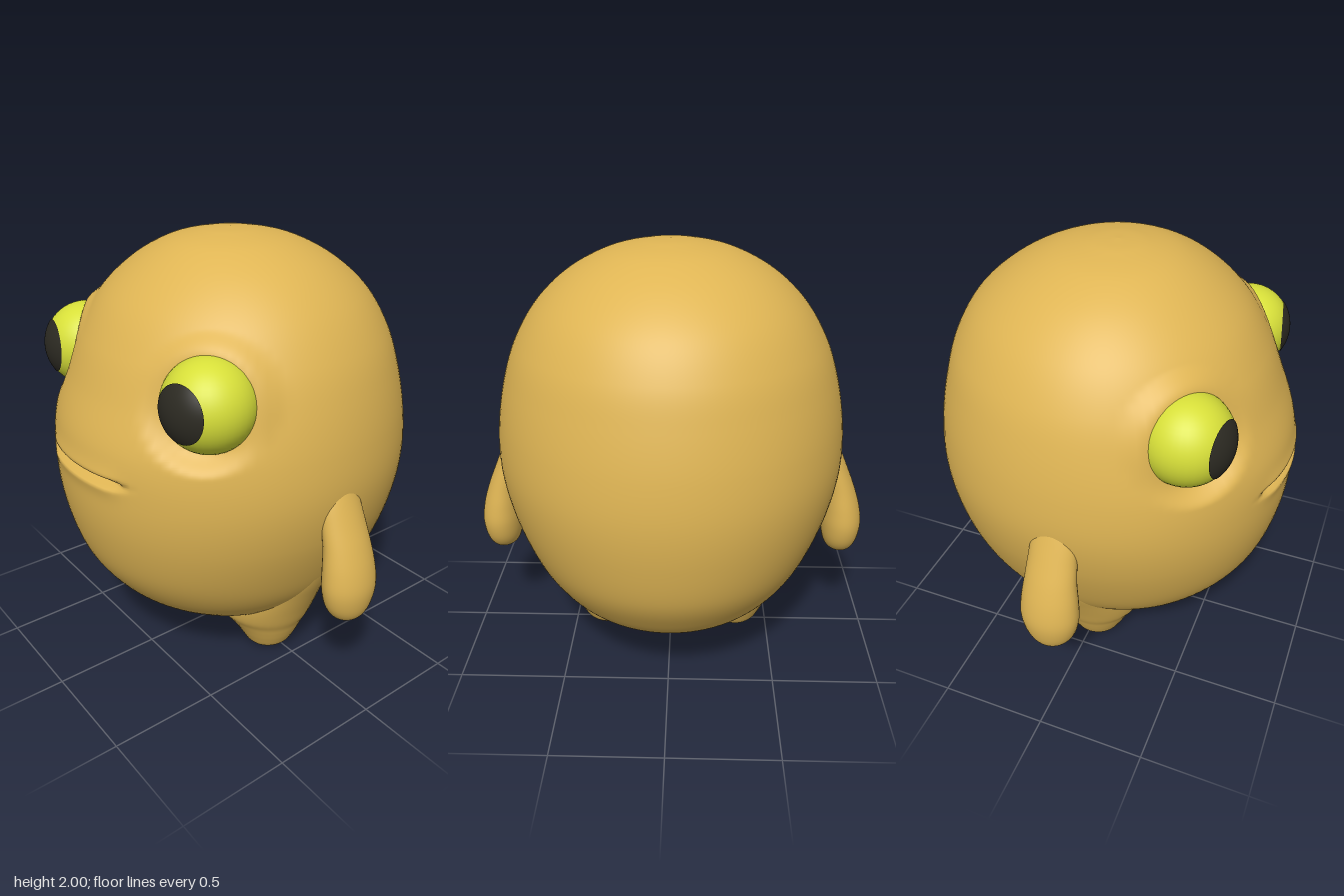
import * as THREE from 'three';

const skin = new THREE.MeshStandardMaterial({ color: 0xdfb554 });
skin.name = 'ochreSkin';
const eyeYellow = new THREE.MeshStandardMaterial({ color: 0xd7df39 });
eyeYellow.name = 'eyeYellow';
const pupilBlack = new THREE.MeshStandardMaterial({ color: 0x2c2a22 });
pupilBlack.name = 'pupilBlack';

const EYE = new THREE.Vector3(0.485, 1.44, 0.478);
const EYE_R = 0.198;

// Smooth loft through rings [y, centreX, halfWidth, frontDepth, backDepth], bottom to top.
function loft(rings, steps, sides, deform) {
  const widths = new THREE.CatmullRomCurve3(
    rings.map((r) => new THREE.Vector3(r[0], r[1], r[2])), false, 'catmullrom', 0.5);
  const depths = new THREE.CatmullRomCurve3(
    rings.map((r) => new THREE.Vector3(r[0], r[3], r[4])), false, 'catmullrom', 0.5);
  const rows = (rings.length - 1) * steps;
  const positions = [];
  const index = [];
  const p = new THREE.Vector3();
  for (let i = 0; i <= rows; i++) {
    const w = widths.getPoint(i / rows);
    const d = depths.getPoint(i / rows);
    for (let j = 0; j < sides; j++) {
      const t = (j / sides) * Math.PI * 2;
      const s = Math.sin(t);
      p.set(w.y + w.z * Math.cos(t), w.x, s * (s > 0 ? d.y : d.z));
      deform(p);
      positions.push(p.x, p.y, p.z);
      if (i < rows) {
        const a = i * sides + j;
        const b = i * sides + ((j + 1) % sides);
        index.push(a, a + sides, b, b, a + sides, b + sides);
      }
    }
  }
  const g = new THREE.BufferGeometry();
  g.setAttribute('position', new THREE.Float32BufferAttribute(positions, 3));
  g.setIndex(index);
  g.computeVertexNormals();
  return g;
}

// Flattens the skin into eye sockets and presses in the mouth crease.
function shapeFace(p) {
  if (p.z <= 0) return;
  const side = p.x < 0 ? -1 : 1;
  const n = new THREE.Vector3(0.6 * side, 0.17, 0.78).normalize();
  const rel = p.clone().sub(new THREE.Vector3(EYE.x * side, EYE.y, EYE.z));
  const out = rel.dot(n);
  const rho = Math.sqrt(Math.max(0, rel.lengthSq() - out * out));
  p.addScaledVector(n, (0.03 - out) * (1 - THREE.MathUtils.smoothstep(rho, 0.18, 0.29)));
  const mouth = 1 - THREE.MathUtils.smoothstep(Math.abs(p.x), 0.2, 0.32);
  const dy = p.y - 1.083;
  p.z += mouth * (0.014 * Math.exp(-((dy / 0.055) ** 2)) - 0.065 * Math.exp(-((dy / 0.016) ** 2)));
}

function addMesh(parent, name, geometry, material) {
  const mesh = new THREE.Mesh(geometry, material);
  mesh.name = name;
  parent.add(mesh);
  return mesh;
}

export function createModel() {
  const group = new THREE.Group();
  group.name = 'roundCreature';

  // Egg-shaped body: [y, halfWidth, front, back]
  const body = [
    [0.165, 0, 0, 0], [0.178, 0.17, 0.2, 0.2], [0.235, 0.4, 0.41, 0.42],
    [0.33, 0.53, 0.56, 0.58], [0.45, 0.63, 0.675, 0.685], [0.6, 0.705, 0.763, 0.77],
    [0.8, 0.775, 0.818, 0.818], [1.0, 0.81, 0.836, 0.836], [1.2, 0.803, 0.82, 0.82],
    [1.4, 0.765, 0.745, 0.777], [1.57, 0.705, 0.672, 0.722], [1.73, 0.605, 0.57, 0.625],
    [1.86, 0.465, 0.43, 0.475], [1.95, 0.295, 0.28, 0.3], [1.99, 0.13, 0.13, 0.13],
    [2, 0, 0, 0],
  ].map(([y, w, f, b]) => [y, 0, w, f, b]);
  addMesh(group, 'body', loft(body, 24, 120, shapeFace), skin);

  // Limb rings: [y, innerX, outerX, halfDepth]
  const leg = [
    [0, 0.34, 0.34, 0], [0.003, 0.28, 0.4, 0.07], [0.03, 0.23, 0.445, 0.11],
    [0.08, 0.19, 0.475, 0.14], [0.13, 0.145, 0.498, 0.168], [0.17, 0.085, 0.515, 0.195],
    [0.22, 0.05, 0.54, 0.225], [0.3, 0.1, 0.573, 0.23], [0.4, 0.2, 0.617, 0.21],
    [0.5, 0.32, 0.663, 0.18], [0.6, 0.45, 0.7, 0.12], [0.68, 0.55, 0.71, 0.05],
  ];
  const arm = [
    [0.44, 0.86, 0.86, 0], [0.447, 0.82, 0.895, 0.045], [0.475, 0.785, 0.925, 0.085],
    [0.53, 0.765, 0.945, 0.117], [0.61, 0.755, 0.953, 0.134], [0.7, 0.752, 0.938, 0.13],
    [0.8, 0.745, 0.906, 0.118], [0.9, 0.72, 0.865, 0.11], [1.0, 0.69, 0.823, 0.1],
    [1.08, 0.68, 0.79, 0.06],
  ];
  const limb = (rings, s, zc) => loft(
    rings.map(([y, a, b, d]) => [y, (s * (a + b)) / 2, (b - a) / 2, d, d]),
    5, 40, (p) => { p.z += zc; });

  for (const [s, side] of [[1, 'left'], [-1, 'right']]) {
    addMesh(group, side + 'Leg', limb(leg, s, 0.02), skin);
    addMesh(group, side + 'Arm', limb(arm, s, 0.015), skin);

    // Eyeball with a thin pupil cap looking forward and slightly outward
    const eye = new THREE.Group();
    eye.name = side + 'Eye';
    eye.position.set(s * EYE.x, EYE.y, EYE.z);
    addMesh(eye, side + 'Eyeball', new THREE.SphereGeometry(EYE_R, 40, 28), eyeYellow);
    const cap = new THREE.SphereGeometry(EYE_R + 0.004, 40, 12, 0, Math.PI * 2, 0, 0.64);
    const pupil = addMesh(eye, side + 'Pupil', cap, pupilBlack);
    pupil.quaternion.setFromUnitVectors(
      new THREE.Vector3(0, 1, 0), new THREE.Vector3(s * 0.2, 0.05, 1).normalize());
    group.add(eye);
  }
  return group;
}
